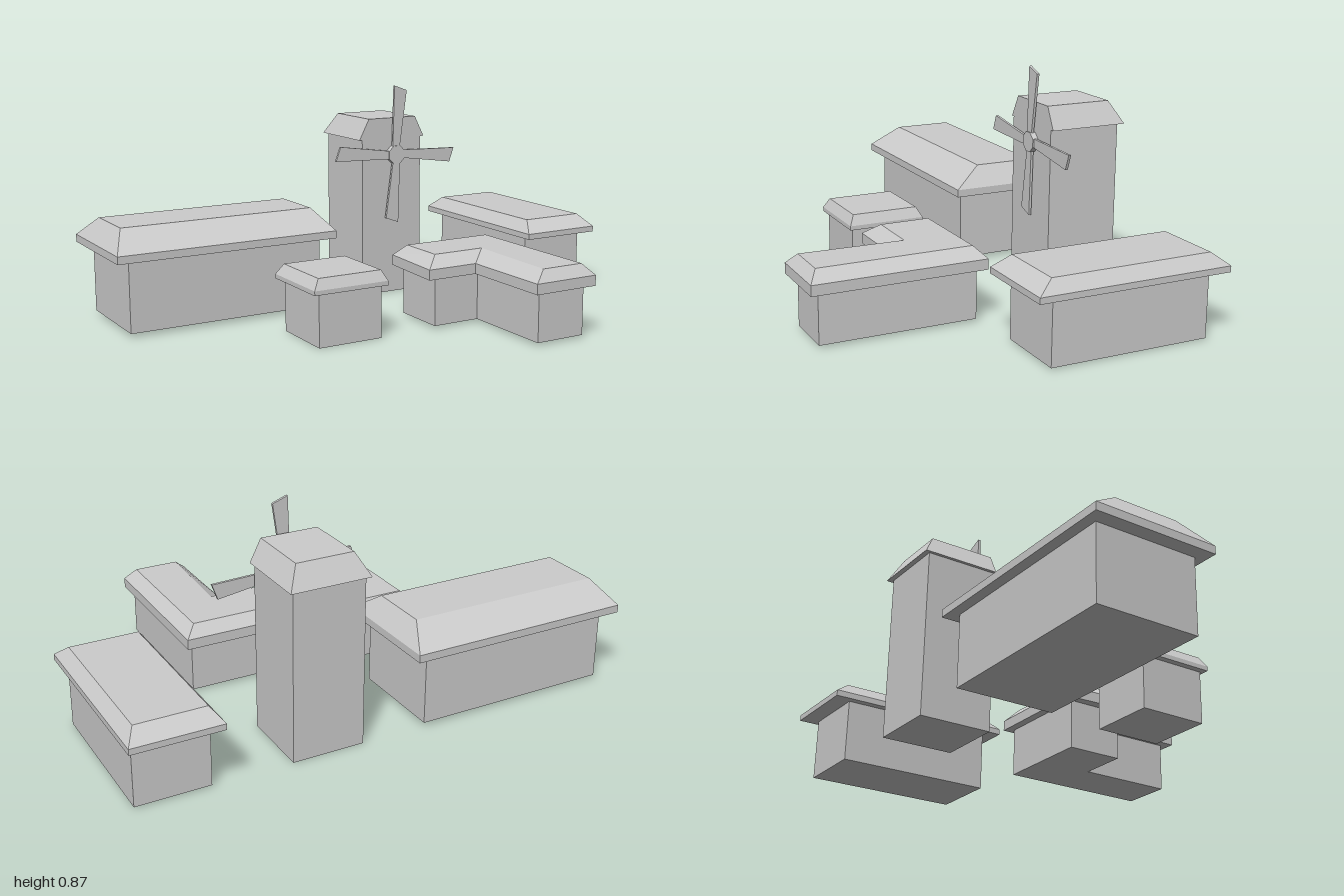
import * as THREE from 'three';

const grey = new THREE.MeshStandardMaterial({ color: 0xcccccc, flatShading: true });

// Rectangle outline [x, z], counter-clockwise seen from above
const rect = (x0, x1, z0, z1) => [[x0, z0], [x0, z1], [x1, z1], [x1, z0]];

// Closed solid from stacked outlines, each { y, pts }
function loft(name, rings) {
  const pos = [];
  const n = rings[0].pts.length;
  const put = (r, i) => pos.push(r.pts[i % n][0], r.y, r.pts[i % n][1]);
  for (let k = 0; k < rings.length - 1; k++) {
    const a = rings[k], b = rings[k + 1];
    for (let i = 0; i < n; i++) {
      put(a, i); put(a, i + 1); put(b, i + 1);
      put(a, i); put(b, i + 1); put(b, i);
    }
  }
  const cap = (r, up) => {
    const flat = r.pts.map(([x, z]) => new THREE.Vector2(x, -z));
    for (const [i, j, k] of THREE.ShapeUtils.triangulateShape(flat, [])) {
      put(r, i); put(r, up ? j : k); put(r, up ? k : j);
    }
  };
  cap(rings[0], false);
  cap(rings[rings.length - 1], true);
  const geo = new THREE.BufferGeometry();
  geo.setAttribute('position', new THREE.Float32BufferAttribute(pos, 3));
  geo.computeVertexNormals();
  const mesh = new THREE.Mesh(geo, grey);
  mesh.name = name;
  return mesh;
}

// Walls under an eave band and a hipped roof with a flat top
function building(name, walls, eaves, top, [base, eave, slope, peak]) {
  const g = new THREE.Group();
  g.name = name;
  g.add(
    loft('walls', [{ y: base, pts: walls }, { y: eave, pts: walls }]),
    loft('roof', [{ y: eave, pts: eaves }, { y: slope, pts: eaves }, { y: peak, pts: top }])
  );
  return g;
}

// Four flared blades around a hub
function windmillFan() {
  const fan = new THREE.Group();
  fan.name = 'windmillFan';
  const shape = new THREE.Shape([[-0.018, 0.02], [0.014, 0.02], [0.044, 0.265], [-0.015, 0.285]]
    .map(([x, y]) => new THREE.Vector2(x, y)));
  const geo = new THREE.ExtrudeGeometry(shape, { depth: 0.01, bevelEnabled: false });
  for (let i = 0; i < 4; i++) {
    const blade = new THREE.Mesh(geo, grey);
    blade.name = 'blade';
    blade.rotation.z = i * Math.PI / 2 - 0.02;
    blade.position.z = -0.004;
    fan.add(blade);
  }
  const hub = new THREE.Mesh(new THREE.CylinderGeometry(0.04, 0.04, 0.022, 8), grey);
  hub.name = 'hub';
  hub.rotation.x = Math.PI / 2;
  hub.rotation.y = Math.PI / 8;
  fan.add(hub);
  fan.position.set(0.253, 0.583, -0.306);
  return fan;
}

export function createModel() {
  const village = new THREE.Group();
  village.name = 'farmVillage';

  village.add(
    building('longBarn',
      rect(-0.945, -0.155, -0.61, -0.22),
      rect(-1, -0.1, -0.65, -0.18),
      rect(-0.945, -0.155, -0.535, -0.295),
      [0.015, 0.29, 0.32, 0.4]),
    building('smallHut',
      rect(-0.415, -0.155, -0.01, 0.255),
      rect(-0.44, -0.135, -0.04, 0.27),
      rect(-0.415, -0.155, -0.018, 0.25),
      [0, 0.2, 0.217, 0.257]),
    building('sideBarn',
      rect(0.69, 0.97, -0.607, 0.01),
      rect(0.66, 1, -0.675, 0.075),
      rect(0.697, 0.962, -0.615, 0.012),
      [0.005, 0.245, 0.268, 0.315]),
    building('cornerHouse',
      [[0.08, 0.033], [0.08, 0.255], [0.275, 0.255], [0.275, 0.633], [0.48, 0.633], [0.48, 0.033]],
      [[0.05, 0], [0.032, 0.29], [0.24, 0.29], [0.24, 0.667], [0.508, 0.667], [0.508, 0]],
      [[0.09, 0.042], [0.09, 0.237], [0.305, 0.237], [0.29, 0.635], [0.465, 0.635], [0.465, 0.042]],
      [0.01, 0.2, 0.24, 0.283])
  );

  // Windmill tower, its roof cut flush at the front
  const mill = new THREE.Group();
  mill.name = 'windmill';
  const tower = rect(0.1, 0.38, -0.605, -0.318);
  mill.add(
    loft('tower', [{ y: 0, pts: tower }, { y: 0.65, pts: tower }]),
    loft('towerRoof', [
      { y: 0.65, pts: rect(0.087, 0.397, -0.625, -0.318) },
      { y: 0.735, pts: rect(0.132, 0.354, -0.577, -0.318) }
    ]),
    windmillFan()
  );
  village.add(mill);
  return village;
}
